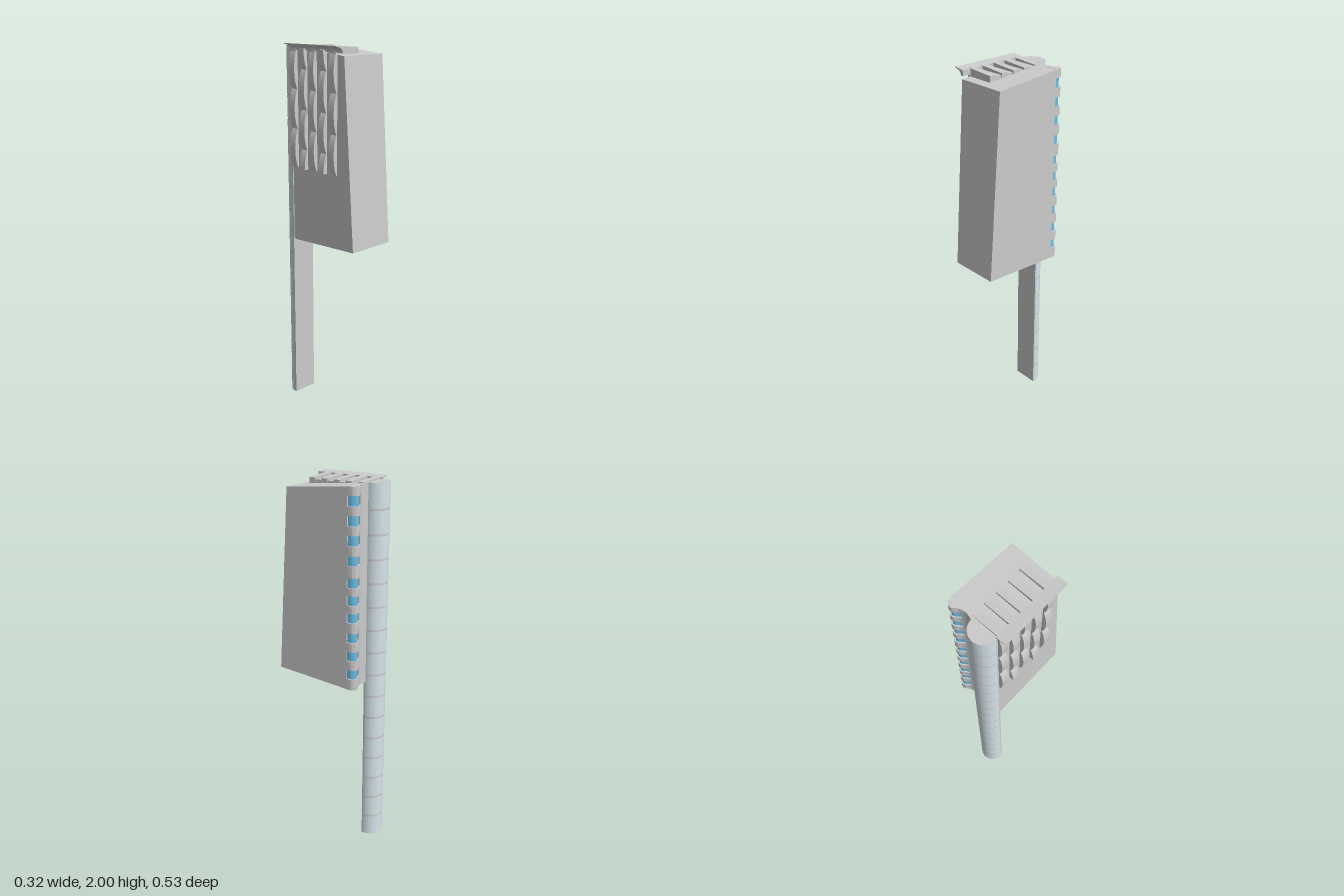
import * as THREE from 'three';
import { toCreasedNormals } from 'three/addons/utils/BufferGeometryUtils.js';

const grey = new THREE.MeshStandardMaterial({ color: 0xcccccc });
const blue = new THREE.MeshStandardMaterial({ color: 0x6bbfe6 });
const pale = new THREE.MeshStandardMaterial({ color: 0xd6e4ea });

export function createModel() {
  const root = new THREE.Group();
  const add = (name, geo, mat = grey, parent = root) => {
    const mesh = new THREE.Mesh(geo, mat);
    mesh.name = name;
    parent.add(mesh);
    return mesh;
  };
  const group = (name) => {
    const g = new THREE.Group();
    g.name = name;
    root.add(g);
    return g;
  };
  // Plan shape (x, -z) raised from y0 to y1
  const raise = (shape, y0, y1) => {
    const g = new THREE.ExtrudeGeometry(shape, { depth: y1 - y0, bevelEnabled: false, curveSegments: 16 });
    return g.rotateX(-Math.PI / 2).translate(0, y0, 0);
  };
  // Profile in x, y run along z
  const run = (shape, z0, z1) => {
    const g = new THREE.ExtrudeGeometry(shape, { depth: z1 - z0, bevelEnabled: false, curveSegments: 12 });
    return toCreasedNormals(g.translate(0, 0, z0), 0.6);
  };
  const poly = (pts) => new THREE.Shape(pts.map(([x, y]) => new THREE.Vector2(x, y)));

  // Tapered tower body with sloping roof and underside, rear corner notched for the bay
  const plan = new THREE.Shape();
  plan.moveTo(-0.11, -0.265);
  plan.lineTo(0.16, -0.265);
  plan.lineTo(0.16, 0.168);
  plan.lineTo(0.09, 0.168);
  plan.lineTo(0.09, 0.196);
  plan.quadraticCurveTo(0.06, 0.186, 0.025, 0.2);
  plan.lineTo(-0.11, 0.19);
  plan.closePath();
  const body = raise(plan, 0, 1);
  const p = body.attributes.position;
  for (let i = 0; i < p.count; i++) {
    const top = p.getY(i) > 0.5;
    if (p.getZ(i) > 0.2 && top) p.setZ(i, 0.195);
    const z = p.getZ(i);
    p.setY(i, top ? 1.95 + 0.035 * (0.195 - z) / 0.395 : 0.97 - 0.025 * (0.265 - z) / 0.475);
  }
  add('towerBody', toCreasedNormals(body, 0.5));

  // Rounded rear bay: glazed core with grey floor bands
  const bayPlan = (inset) => {
    const s = new THREE.Shape();
    s.moveTo(0.09, 0.167);
    s.lineTo(0.16 - inset, 0.167);
    s.lineTo(0.16 - inset, 0.197 - inset);
    s.bezierCurveTo(0.152 - inset, 0.216 - inset, 0.13, 0.228 - inset, 0.112, 0.208 - inset);
    s.quadraticCurveTo(0.102, 0.199 - inset, 0.09, 0.196 - inset);
    s.closePath();
    return s;
  };
  const bay = group('rearBay');
  add('windowCore', toCreasedNormals(raise(bayPlan(0.007), 0.96, 1.975), 0.6), blue, bay);
  const windows = [1.03, 1.13, 1.23, 1.335, 1.425, 1.515, 1.625, 1.725, 1.82, 1.915];
  const half = 0.025;
  for (let i = 0; i <= windows.length; i++) {
    const y0 = i === 0 ? 0.946 : windows[i - 1] + half;
    const y1 = i === windows.length ? 1.983 : windows[i] - half;
    add('floorBand', toCreasedNormals(raise(bayPlan(0), y0, y1), 0.6), grey, bay);
  }

  // Half-round shaft with a flat front
  const shaftTop = 1.986, cx = -0.045, r = 0.07;
  const half_ = new THREE.Shape();
  half_.moveTo(cx - r, 0.188);
  half_.lineTo(cx + r, 0.188);
  half_.lineTo(cx + r, 0.198);
  half_.absarc(cx, 0.198, r, 0, Math.PI, false);
  half_.closePath();
  const shaft = group('shaft');
  add('shaftCore', toCreasedNormals(raise(half_, 0, shaftTop), 0.6), grey, shaft);
  // Pale cladding panels, separated by thin grey joints
  const pitch = shaftTop / 16, joint = 0.01;
  for (let i = 0; i < 16; i++) {
    const h = pitch - (i < 15 ? joint : 0);
    const panel = new THREE.CylinderGeometry(r + 0.001, r + 0.001, h, 32, 1, true, Math.PI / 2, Math.PI);
    add('claddingPanel', panel.translate(cx, i * pitch + h / 2, -0.198), pale, shaft);
  }

  // Roof deck and louvre slats
  const roof = group('roofLouvres');
  add('deck', new THREE.BoxGeometry(0.133, 0.024, 0.235).translate(-0.034, 1.964, 0.01), grey, roof);
  const slat = poly([[-0.122, 1.955], [0.037, 1.953], [0.037, 1.986], [-0.122, 1.996]]);
  const slatZ = [-0.164, -0.0905, -0.0195, 0.054, 0.128];
  for (const z of slatZ) add('slat', run(slat, z - 0.018, z + 0.018), grey, roof);

  // Flared eave along the model's right edge, hollow on its underside
  const eave = new THREE.Shape();
  eave.moveTo(-0.105, 1.994);
  eave.lineTo(-0.163, 2.0);
  eave.lineTo(-0.163, 1.996);
  eave.quadraticCurveTo(-0.122, 1.992, -0.118, 1.965);
  eave.lineTo(-0.105, 1.965);
  eave.closePath();
  add('eave', run(eave, -0.19, 0.194), grey, roof);

  // Scalloped vertical fins on the side wall, alternate fins offset by half a bulge
  const fins = group('sideFins');
  const y0 = 1.355, y1 = 1.975, wave = (y1 - y0) / 3;
  slatZ.forEach((z, k) => {
    const pts = [[-0.108, y1], [-0.108, y0]].reverse();
    const outer = [];
    for (let i = 0; i <= 36; i++) {
      const y = y0 + (y1 - y0) * i / 36;
      const s = Math.abs(Math.sin(Math.PI * ((y - y0) / wave + (k % 2) * 0.5)));
      outer.push([-0.115 - 0.02 * Math.pow(s, 0.7), y]);
    }
    add('scallopedFin', run(poly([...pts, ...outer.reverse()]), z - 0.02, z + 0.02), grey, fins);
  });
  return root;
}
